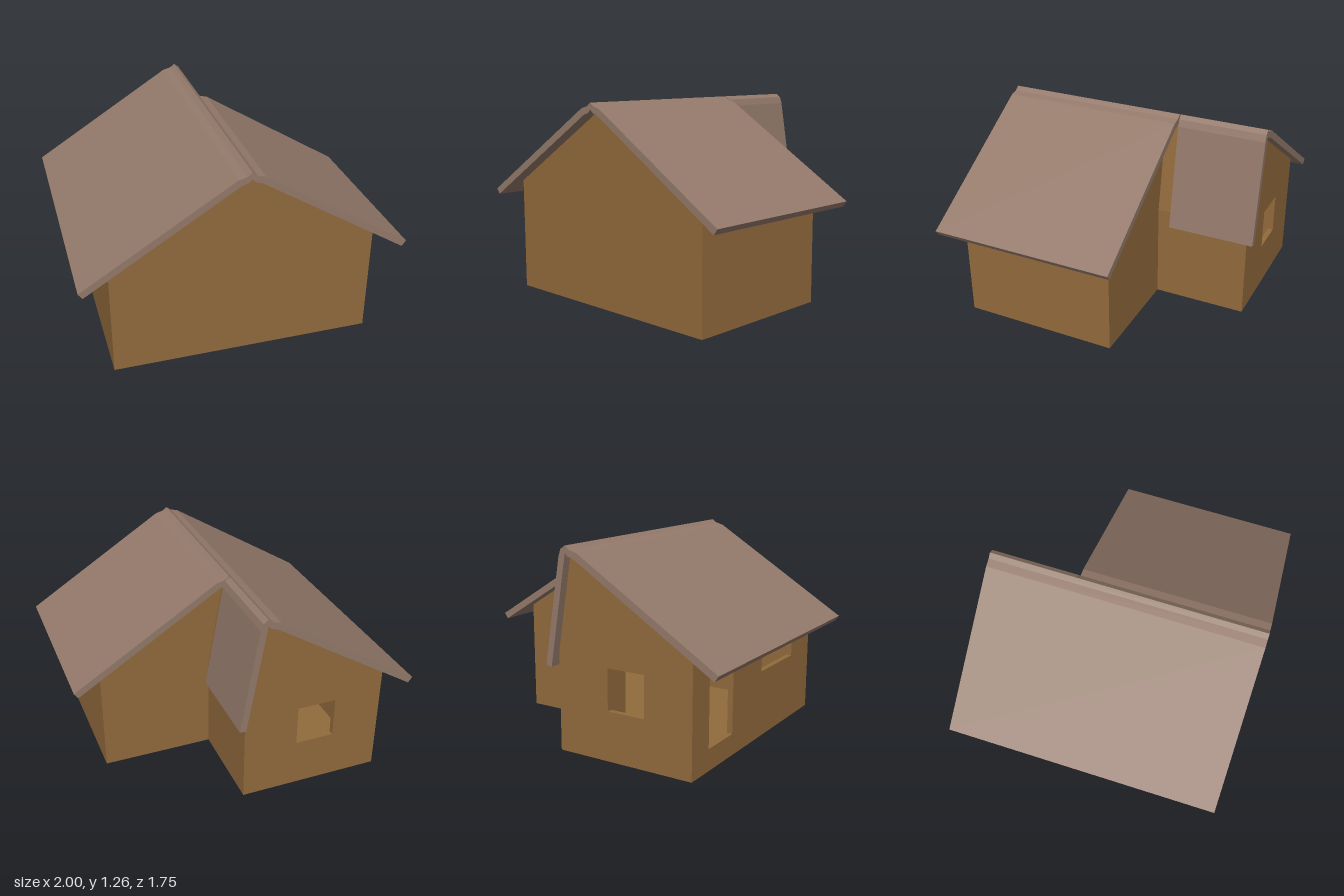
import * as THREE from 'three';

const T = 0.035; // wall thickness

// Flat outline with optional rectangular openings [x0, y0, x1, y1]
function outline(points, openings = []) {
  const toV = ([x, y]) => new THREE.Vector2(x, y);
  const shape = new THREE.Shape(points.map(toV));
  for (const [x0, y0, x1, y1] of openings) {
    shape.holes.push(new THREE.Path([[x0, y0], [x0, y1], [x1, y1], [x1, y0]].map(toV)));
  }
  return shape;
}

// Outline in the x-y plane, extruded from z0 to z1
function prism(shape, z0, z1) {
  return new THREE.ExtrudeGeometry(shape, { depth: z1 - z0, bevelEnabled: false }).translate(0, 0, z0);
}

const mirror = (points) => points.map(([x, y]) => [-x, y]).reverse();

export function createModel() {
  const group = new THREE.Group();
  const wall = new THREE.MeshStandardMaterial({ color: 0x916a3c });
  wall.name = 'timber brown';
  const roof = new THREE.MeshStandardMaterial({ color: 0x93796a });
  roof.name = 'roof grey brown';

  function add(name, geometry, material) {
    const mesh = new THREE.Mesh(geometry, material);
    mesh.name = name;
    group.add(mesh);
  }

  // Underside and top of one roof slope, from ridge to eave
  const under = [[0, 1.225], [0.022, 1.203], [0.06, 1.192], [0.975, 0.62]];
  const over = [[1, 0.655], [0.08, 1.23], [0.03, 1.243], [0, 1.265]];
  const slope = [...under, ...over];
  const gableTop = [[0.815, 0.72], [0.06, 1.192], [0.022, 1.203], [0, 1.225]];

  // Roof: full-length slope, shorter slope and steep rear slope
  add('longRoofSlope', prism(outline(mirror(slope)), -0.875, 0.875), roof);
  add('shortRoofSlope', prism(outline(slope), -0.305, 0.875), roof);
  const steep = [[0, 1.225], [0.004, 1.19], [0.116, 0.535], [0.157, 0.542], [0.045, 1.2], [0.03, 1.243], [0, 1.265]];
  add('steepRoofSlope', prism(outline(steep), -0.875, -0.315), roof);

  // Front gable
  add('frontGable', prism(outline([
    [-0.815, 0], [0.815, 0], ...gableTop, ...mirror(gableTop).slice(1),
  ]), 0.79 - T, 0.79), wall);

  // Rear gable with window
  add('rearGable', prism(outline([
    [-0.815, 0], [0.1, 0], [0.1, 0.62], [0.004, 1.19], [0, 1.225], ...mirror(gableTop).slice(1),
  ], [[-0.5, 0.31, -0.25, 0.57]]), -0.82, -0.82 + T), wall);

  // Rear wall of the wide wing
  add('wingRearWall', prism(outline([
    [0.1, 0], [0.815, 0], [0.815, 0.72], [0.06, 1.192], [0.005, 1.19], [0.1, 0.62],
  ]), -0.215, -0.215 + T), wall);

  // Long side wall with two openings, drawn as z-y and turned to face -x
  const side = outline([[-0.82 + T, 0], [0.79 - T, 0], [0.79 - T, 0.73], [-0.82 + T, 0.73]],
    [[-0.63, 0.135, -0.34, 0.57], [0.045, 0.43, 0.505, 0.58]]);
  add('longSideWall', prism(side, 0, T).rotateY(-Math.PI / 2).translate(-0.815 + T, 0, 0), wall);

  // Short side wall and the recessed wall behind it
  const box = (x0, x1, y1) => outline([[x0, 0], [x1, 0], [x1, y1], [x0, y1]]);
  add('shortSideWall', prism(box(0.815 - T, 0.815, 0.73), -0.215 + T, 0.79 - T), wall);
  add('recessedWall', prism(box(0.1 - T, 0.1, 0.615), -0.82 + T, -0.215 + T), wall);

  // Leaning panel closing the gap under the roof junction
  add('junctionPanel', prism(outline([
    [0.1 - T, 0.6], [0.1, 0.6], [0.1, 0.62], [0.005, 1.2], [-0.025, 1.19],
  ]), -0.318, -0.215 + T), wall);

  // L-shaped floor
  const plan = outline([[-0.815, -0.79], [0.815, -0.79], [0.815, 0.215], [0.1, 0.215], [0.1, 0.82], [-0.815, 0.82]]);
  add('floor', prism(plan, 0, 0.02).rotateX(-Math.PI / 2), wall);

  return group;
}
